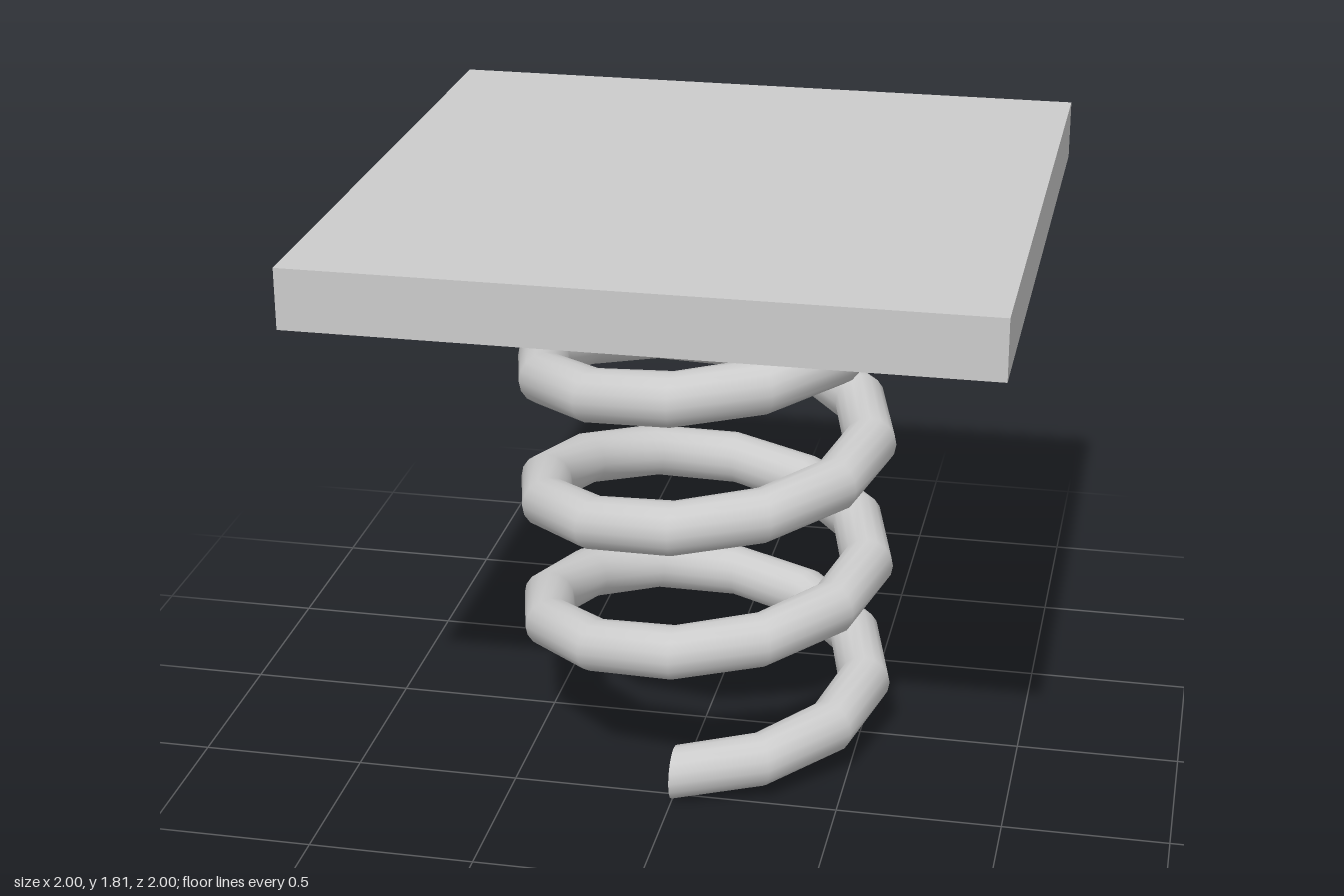
import * as THREE from 'three';
import { ParametricGeometry } from 'three/addons/geometries/ParametricGeometry.js';

const COIL_RADIUS = 0.508, WIRE_RADIUS = 0.082, PITCH = 0.408, TURNS = 4;
const STEPS_PER_TURN = 12, WIRE_SIDES = 16;

export function createModel() {
  const model = new THREE.Group();
  model.name = 'springPlatform';
  const material = new THREE.MeshStandardMaterial({ color: 0xcccccc });

  const add = (name, geometry, x, y, z) => {
    const mesh = new THREE.Mesh(geometry, material);
    mesh.name = name;
    mesh.position.set(x, y, z);
    model.add(mesh);
    return mesh;
  };

  // Square plate resting on the spring
  add('plate', new THREE.BoxGeometry(2, 0.18, 2), 0, 1.72, 0);

  // Spring: an upright circle swept around the y axis while rising
  const sweep = (u, v, target) => {
    const turn = u * TURNS * Math.PI * 2;
    const around = v * Math.PI * 2;
    const r = COIL_RADIUS + WIRE_RADIUS * Math.cos(around);
    target.set(
      r * Math.sin(turn),
      WIRE_RADIUS * (1 + Math.sin(around)) + u * TURNS * PITCH,
      r * Math.cos(turn)
    );
  };
  add('spring', new ParametricGeometry(sweep, TURNS * STEPS_PER_TURN, WIRE_SIDES), 0, 0, 0);

  // Flat wire ends; the upper one is buried in the plate
  for (const [name, height, side] of [['lowerWireEnd', 0, -1], ['upperWireEnd', TURNS * PITCH, 1]]) {
    const end = add(name, new THREE.CircleGeometry(WIRE_RADIUS, WIRE_SIDES), 0, WIRE_RADIUS + height, COIL_RADIUS);
    end.rotation.y = side * Math.PI / 2;
  }

  return model;
}
